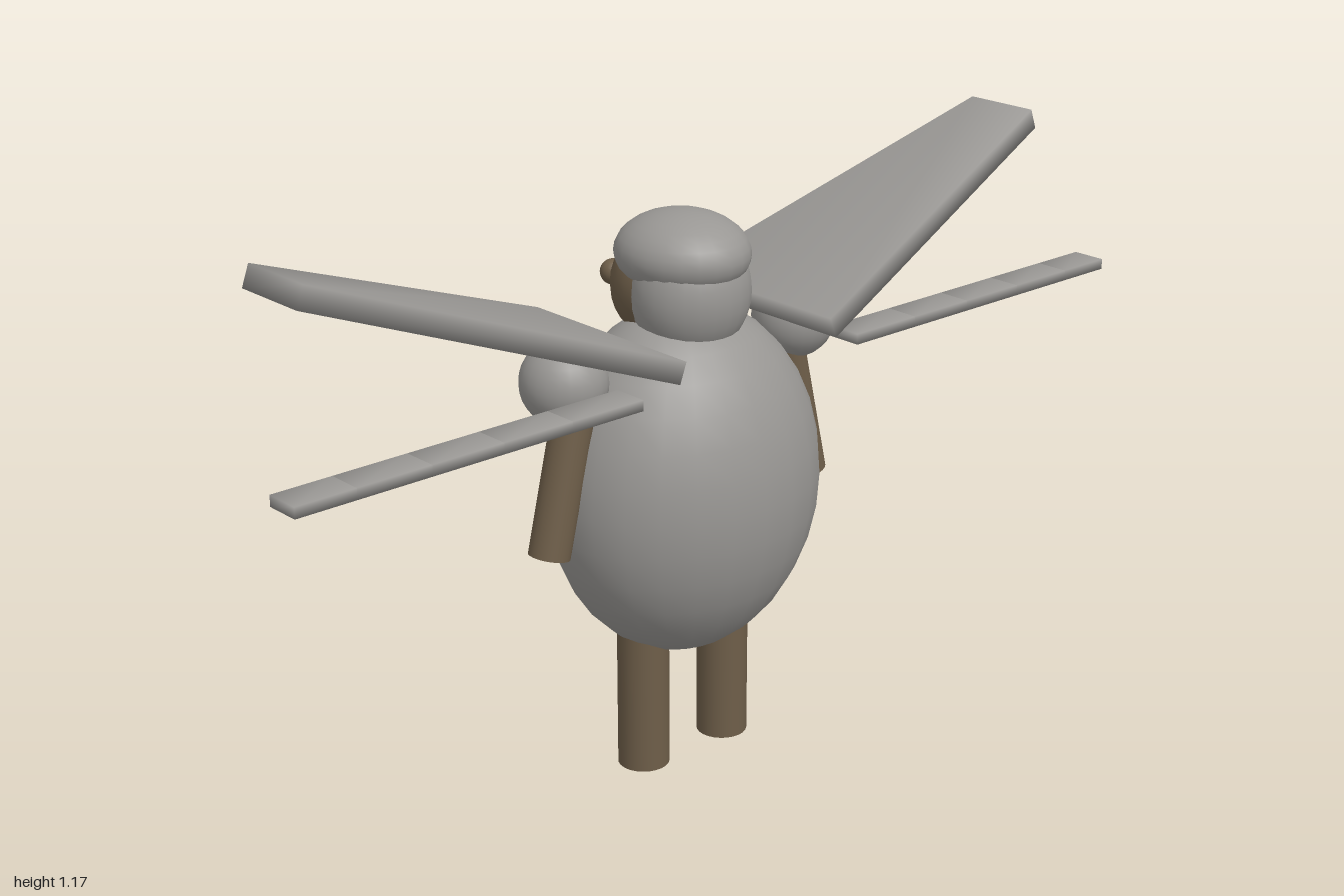
import * as THREE from 'three';
import { mergeVertices } from 'three/addons/utils/BufferGeometryUtils.js';

const grey = new THREE.MeshStandardMaterial({ color: 0x999794 });
grey.name = 'grey plumage';
const brown = new THREE.MeshStandardMaterial({ color: 0x6e5e49 });
brown.name = 'brown skin';

function addMesh(parent, name, geometry, material, x, y, z) {
  const mesh = new THREE.Mesh(geometry, material);
  mesh.name = name;
  mesh.position.set(x, y, z);
  parent.add(mesh);
  return mesh;
}

function ellipsoid(rx, ry, rz, w = 24, h = 16) {
  return new THREE.SphereGeometry(1, w, h).scale(rx, ry, rz);
}

// Box with shared, smooth corners whose depth changes from inner (-x) to outer (+x) end
function softPlate(length, thickness, innerDepth, outerDepth) {
  const g = new THREE.BoxGeometry(length, thickness, 1);
  const p = g.attributes.position;
  for (let i = 0; i < p.count; i++) {
    p.setZ(i, p.getZ(i) * (p.getX(i) > 0 ? outerDepth : innerDepth));
  }
  g.deleteAttribute('normal');
  g.deleteAttribute('uv');
  const merged = mergeVertices(g);
  merged.computeVertexNormals();
  return merged;
}

export function createModel() {
  const model = new THREE.Group();
  model.name = 'wingedFigure';

  addMesh(model, 'body', ellipsoid(0.29, 0.35, 0.235), grey, 0, 0.58, 0);

  // Head: brown face toward -z, grey covering toward +z, rounded cap on top
  const head = new THREE.Group();
  head.name = 'head';
  model.add(head);
  addMesh(head, 'face', ellipsoid(0.113, 0.113, 0.11), brown, 0, 0.96, -0.04);
  addMesh(head, 'headCover', ellipsoid(0.12, 0.13, 0.11), grey, 0, 0.96, 0.02);
  addMesh(head, 'cap', ellipsoid(0.124, 0.08, 0.136), grey, 0, 1.03, -0.002);

  for (const s of [1, -1]) {
    const side = s > 0 ? 'left' : 'right';
    addMesh(head, side + 'Eye', new THREE.SphereGeometry(0.025, 16, 12), brown, s * 0.053, 0.97, -0.14);

    // Limbs
    addMesh(model, side + 'Leg', new THREE.CylinderGeometry(0.051, 0.051, 0.36, 24), brown, s * 0.105, 0.18, 0);
    addMesh(model, side + 'Shoulder', new THREE.SphereGeometry(0.083, 24, 16), grey, s * 0.291, 0.842, 0);
    const arm = addMesh(model, side + 'Arm', new THREE.CylinderGeometry(0.04, 0.04, 0.3, 24), brown, s * 0.299, 0.655, 0);
    arm.rotation.z = s * 0.235;

    // Each wing or blade is built outward along +x and turned around for the other side
    const pivot = new THREE.Group();
    pivot.name = side + 'Wings';
    pivot.rotation.y = s > 0 ? 0 : Math.PI;
    model.add(pivot);
    const wing = addMesh(pivot, side + 'Wing', softPlate(0.75, 0.043, 0.42, 0.16), grey, 0.54, 1.02, 0);
    wing.rotation.z = 0.355;

    // Segmented blade
    const edges = [0.27, 0.43, 0.58, 0.73, 0.88, 1.0];
    for (let i = 0; i < 5; i++) {
      const length = edges[i + 1] - edges[i];
      addMesh(pivot, side + 'BladeSegment' + (i + 1), softPlate(length, 0.021, 0.07, 0.07), grey,
        (edges[i] + edges[i + 1]) / 2, 0.845, s * 0.16);
    }
  }
  return model;
}
